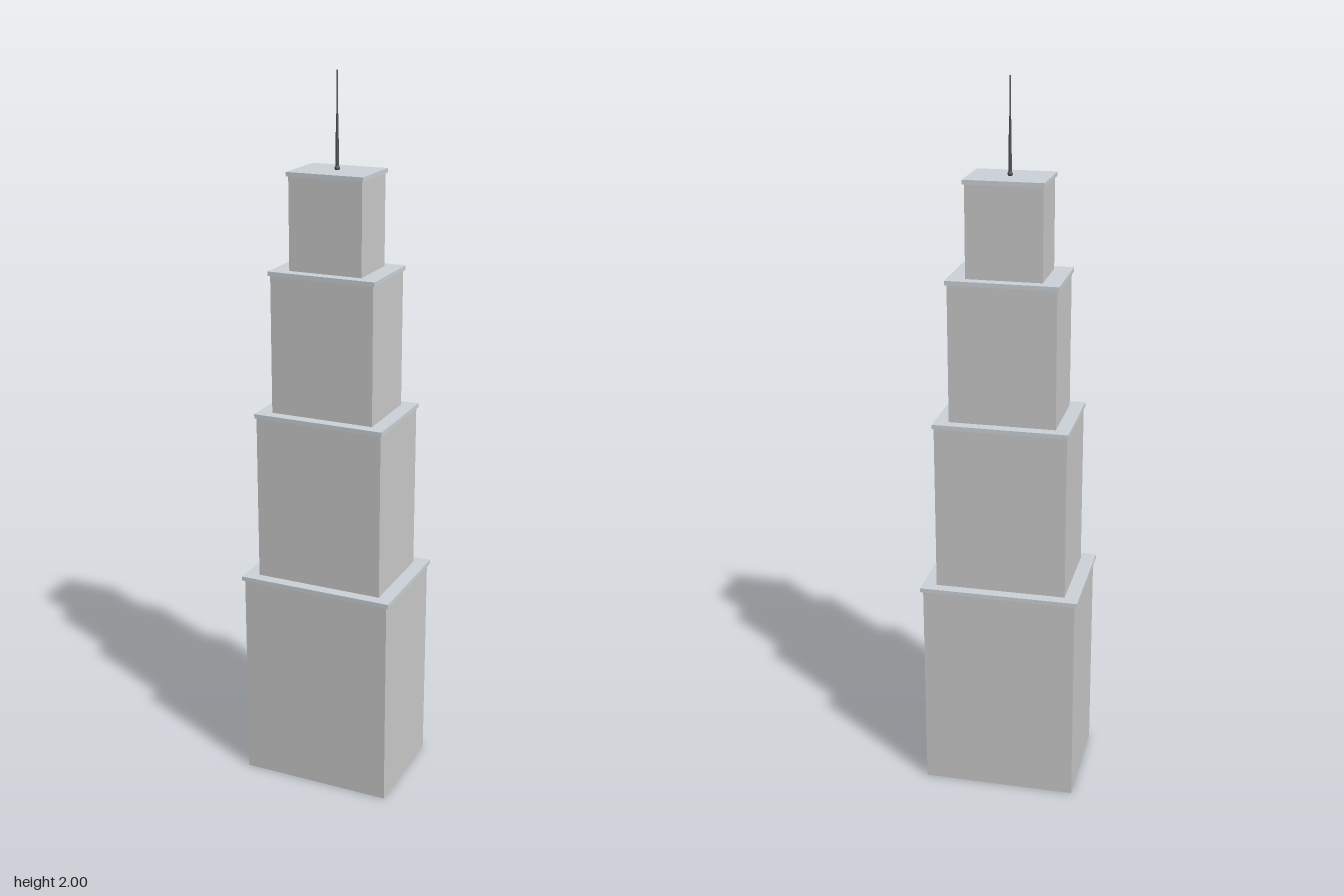
import * as THREE from 'three';

const wall = new THREE.MeshStandardMaterial({ color: 0xcccccc });
const trim = new THREE.MeshStandardMaterial({ color: 0xccd3da });
const steel = new THREE.MeshStandardMaterial({ color: 0x55585c });

function addPart(parent, name, geometry, material, y) {
  const mesh = new THREE.Mesh(geometry, material);
  mesh.name = name;
  mesh.position.y = y;
  parent.add(mesh);
}

export function createModel() {
  const tower = new THREE.Group();
  tower.name = 'tower';

  // Stepped tiers: width, depth, roof width, roof depth, roof height
  const tiers = [
    [0.43, 0.312, 0.444, 0.323, 0.615],
    [0.365, 0.26, 0.373, 0.27, 1.095],
    [0.294, 0.208, 0.305, 0.216, 1.487],
    [0.207, 0.156, 0.216, 0.166, 1.747],
  ];
  const slab = 0.012;
  let base = 0;
  tiers.forEach(([w, d, roofW, roofD, top], i) => {
    const tier = new THREE.Group();
    tier.name = `tier${i + 1}`;
    const h = top - slab - base;
    addPart(tier, 'walls', new THREE.BoxGeometry(w, h, d), wall, base + h / 2);
    addPart(tier, 'roofLedge', new THREE.BoxGeometry(roofW, slab, roofD), trim, top - slab / 2);
    tower.add(tier);
    base = top;
  });

  // Rooftop antenna: round foot, thick lower mast, thin upper mast
  const antenna = new THREE.Group();
  antenna.name = 'antenna';
  addPart(antenna, 'antennaFoot', new THREE.SphereGeometry(0.007, 16, 12), steel, 1.752);
  addPart(antenna, 'lowerMast', new THREE.CylinderGeometry(0.0035, 0.0045, 0.143, 12), steel, 1.8185);
  addPart(antenna, 'upperMast', new THREE.CylinderGeometry(0.0018, 0.0025, 0.11, 12), steel, 1.945);
  tower.add(antenna);

  return tower;
}
